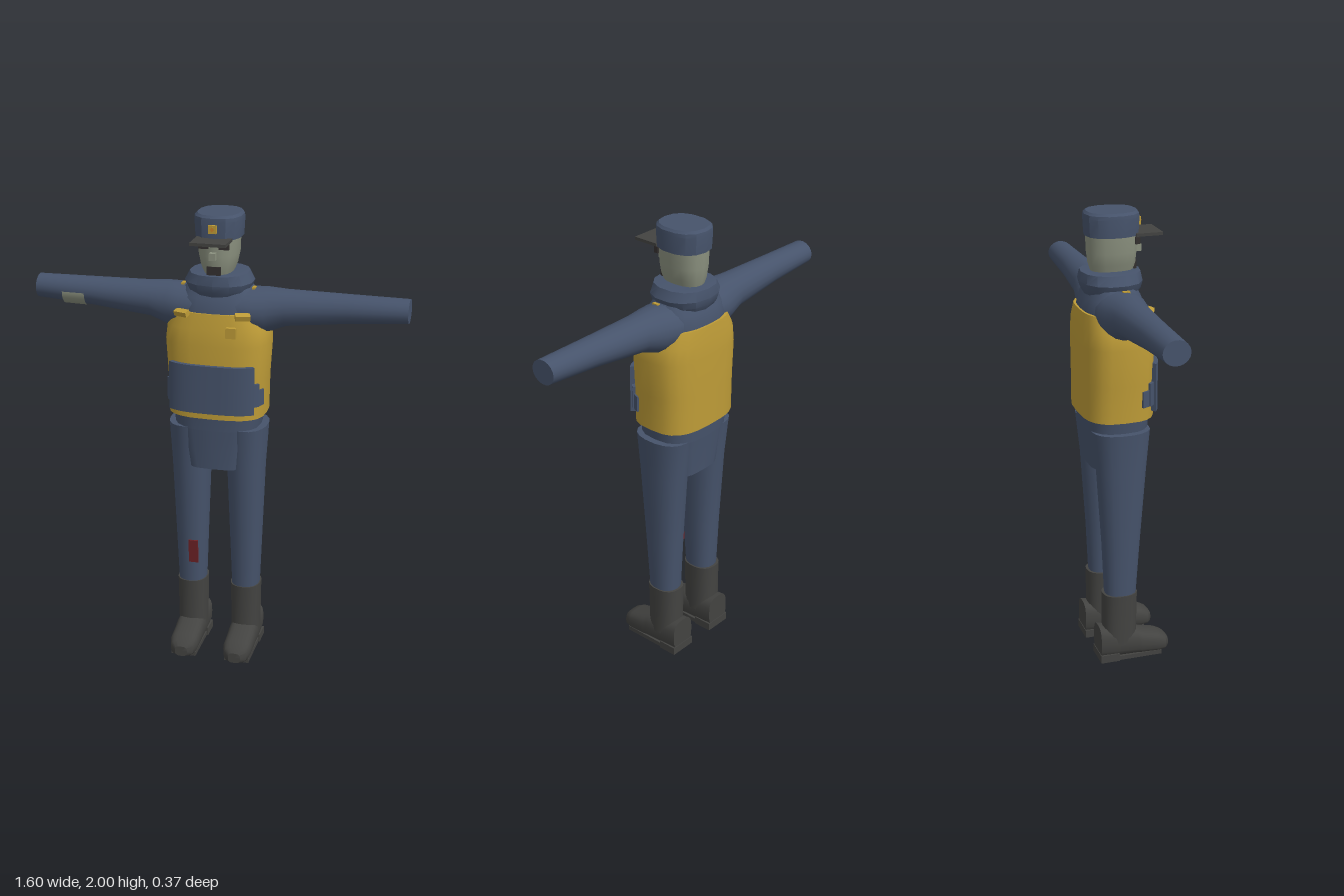
import * as THREE from 'three';
import { toCreasedNormals } from 'three/addons/utils/BufferGeometryUtils.js';

const mat = (name, color) => {
  const m = new THREE.MeshStandardMaterial({ color });
  m.name = name;
  return m;
};

// Point on a rounded-square outline; power 2 is an ellipse, higher is boxier
const outline = (a, rx, rz, p) => {
  const f = (v) => Math.sign(v) * Math.abs(v) ** (2 / p);
  return [rx * f(Math.sin(a)), rz * f(Math.cos(a))];
};

// Closed solid from rings [y, centreX, centreZ, radiusX, radiusZ], y rising
function loft(rings, sides = 16, p = 2, crease = 0.6) {
  const pos = [], idx = [];
  for (const [y, cx, cz, rx, rz] of rings) {
    for (let i = 0; i < sides; i++) {
      const [x, z] = outline((i / sides) * Math.PI * 2, rx, rz, p);
      pos.push(cx + x, y, cz + z);
    }
  }
  const last = rings.length - 1, bottom = pos.length / 3;
  for (const r of [rings[0], rings[last]]) pos.push(r[1], r[0], r[2]);
  for (let i = 0; i < sides; i++) {
    const n = (i + 1) % sides;
    for (let j = 0; j < last; j++) {
      const a = j * sides + i, b = j * sides + n;
      idx.push(a, b, b + sides, a, b + sides, a + sides);
    }
    idx.push(bottom, n, i, bottom + 1, last * sides + i, last * sides + n);
  }
  const g = new THREE.BufferGeometry();
  g.setAttribute('position', new THREE.Float32BufferAttribute(pos, 3));
  g.setIndex(idx);
  return toCreasedNormals(g, crease);
}

// Plate bent around the front of the vest
function wrapPlate(halfAngle, y0, y1, thickness) {
  const g = new THREE.BoxGeometry(halfAngle * 2, y1 - y0, thickness, 20, 1, 1);
  const p = g.attributes.position;
  for (let i = 0; i < p.count; i++) {
    const off = p.getZ(i) + thickness / 2 - 0.002;
    const [x, z] = outline(p.getX(i), 0.213 + off, 0.156 + off, 3);
    p.setXYZ(i, x, p.getY(i) + (y0 + y1) / 2, z - 0.028);
  }
  return toCreasedNormals(g, 0.6);
}

export function createModel() {
  const blue = mat('blueCloth', 0x46536b);
  const yellow = mat('yellowVest', 0xbd9b37);
  const dark = mat('darkLeather', 0x434341);
  const skin = mat('greyGreenSkin', 0x8b917f);
  const black = mat('darkFeatures', 0x34302f);
  const red = mat('redPatch', 0x6e2226);
  const orange = mat('orangeEmblem', 0xc9822a);

  const model = new THREE.Group();
  model.name = 'uniformedFigure';
  const add = (name, geometry, material, x = 0, y = 0, z = 0) => {
    const m = new THREE.Mesh(geometry, material);
    m.name = name;
    m.position.set(x, y, z);
    model.add(m);
    return m;
  };
  const box = (name, w, h, d, material, x, y, z) =>
    add(name, new THREE.BoxGeometry(w, h, d), material, x, y, z);

  // Head and face
  add('head', loft([
    [1.70, 0, -0.03, 0.045, 0.075], [1.74, 0, -0.028, 0.055, 0.088],
    [1.78, 0, -0.028, 0.072, 0.1], [1.83, 0, -0.029, 0.083, 0.105],
    [1.92, 0, -0.03, 0.086, 0.106],
  ], 16, 2.4, 0.9), skin);
  box('nose', 0.026, 0.03, 0.03, skin, 0, 1.835, 0.085);
  box('mouth', 0.058, 0.036, 0.012, black, 0, 1.77, 0.067);

  // Peaked cap
  add('cap', loft([
    [1.90, 0, -0.03, 0.098, 0.113], [1.975, 0, -0.03, 0.102, 0.117],
    [1.99, 0, -0.03, 0.1, 0.115], [2.0, 0, -0.03, 0.09, 0.105],
  ], 14, 2.4, 0.5), blue);
  box('capVisor', 0.15, 0.013, 0.115, dark, 0, 1.902, 0.114);
  box('capBadge', 0.034, 0.034, 0.012, yellow, 0, 1.948, 0.09);
  const emblem = box('capEmblem', 0.014, 0.014, 0.004, orange, 0, 1.948, 0.097);
  emblem.rotation.z = Math.PI / 4;

  // Collar and upper body
  add('collar', loft([
    [1.655, 0, -0.035, 0.115, 0.11], [1.68, 0, -0.035, 0.135, 0.125],
    [1.71, 0, -0.035, 0.146, 0.132], [1.75, 0, -0.035, 0.125, 0.125],
    [1.752, 0, -0.035, 0.105, 0.108],
  ], 14, 2.3, 0.5), blue);
  add('shoulders', loft([
    [1.50, 0, -0.03, 0.17, 0.13], [1.60, 0, -0.032, 0.18, 0.133],
    [1.65, 0, -0.033, 0.17, 0.115], [1.69, 0, -0.033, 0.14, 0.095],
  ], 20, 2.6), blue);

  // Vest
  add('vest', loft([
    [1.14, 0, -0.028, 0.21, 0.156], [1.30, 0, -0.028, 0.213, 0.156],
    [1.46, 0, -0.028, 0.223, 0.156], [1.53, 0, -0.03, 0.215, 0.151],
    [1.595, 0, -0.033, 0.18, 0.14],
  ], 24, 3), yellow);
  add('frontPouch', wrapPlate(0.8, 1.17, 1.38, 0.02), blue);
  add('pouchBand', wrapPlate(1.26, 1.2, 1.27, 0.008), blue);
  add('pouchTab', wrapPlate(1.02, 1.2, 1.3, 0.012), blue);
  box('chestBadge', 0.044, 0.044, 0.02, yellow, 0.09, 1.53, 0.133);

  // Waist and hips
  add('waist', loft([
    [1.08, 0, -0.028, 0.185, 0.138], [1.16, 0, -0.028, 0.195, 0.142],
  ], 20, 2.8), blue);
  add('hips', loft([
    [0.90, 0, -0.022, 0.12, 0.12], [0.98, 0, -0.023, 0.138, 0.124],
    [1.10, 0, -0.026, 0.16, 0.132],
  ], 20, 4), blue);

  for (const s of [1, -1]) {
    const side = s > 0 ? 'left' : 'right';

    // Face and vest details on each side
    box(side + 'Eye', 0.042, 0.028, 0.02, black, s * 0.043, 1.876, 0.067);
    const tab = box(side + 'StrapEnd', 0.062, 0.022, 0.028, yellow, s * 0.13, 1.592, 0.1);
    tab.rotation.set(0.35, s * 0.35, s * -0.15);
    box(side + 'ShoulderLoop', 0.014, 0.014, 0.03, yellow, s * 0.152, 1.686, -0.012);

    // Arm, lofted outward along x
    const arm = loft([
      [0.06, 1.595, -0.028, 0.095, 0.115], [0.16, 1.595, -0.027, 0.095, 0.112],
      [0.21, 1.597, -0.027, 0.095, 0.1], [0.29, 1.61, -0.027, 0.077, 0.083],
      [0.55, 1.623, -0.026, 0.0615, 0.065], [0.80, 1.631, -0.026, 0.051, 0.057],
    ].map(([x, y, z, ry, rz]) => [x, -s * y, z, ry, rz]), 18, 2);
    add(side + 'Arm', arm.rotateZ(-s * Math.PI / 2), blue);

    // Trouser leg
    const cx = s * 0.1225;
    add(side + 'Leg', loft([
      [0.30, cx, -0.03, 0.061, 0.069], [0.55, cx, -0.027, 0.07, 0.083],
      [0.90, cx, -0.025, 0.082, 0.108], [1.085, cx, -0.027, 0.093, 0.126],
    ], 18, 2.3), blue);

    // Boot: shaft, foot lofted forward along z, heel block
    add(side + 'BootShaft', loft([
      [0.08, cx, -0.035, 0.064, 0.075], [0.32, cx, -0.033, 0.067, 0.078],
    ], 18, 2.4), dark);
    const foot = loft([
      [-0.132, 0.06, 0.012, 0.162], [-0.06, 0.063, 0.012, 0.15],
      [0.04, 0.063, 0.01, 0.13], [0.06, 0.063, 0.008, 0.118],
      [0.14, 0.062, 0.006, 0.098], [0.172, 0.052, 0.008, 0.082],
      [0.19, 0.028, 0.015, 0.062],
    ].map(([z, rx, lo, hi]) => [z, cx, -(lo + hi) / 2, rx, (hi - lo) / 2]), 20, 3);
    add(side + 'BootFoot', foot.rotateX(Math.PI / 2), dark);
    box(side + 'BootHeel', 0.124, 0.036, 0.085, dark, cx, 0.018, -0.092);
    box(side + 'BootSole', 0.112, 0.02, 0.2, dark, cx, 0.01, 0.05);
  }

  // Patches on the right arm and right leg
  const sleeve = new THREE.CylinderGeometry(0.0625, 0.065, 0.1, 8, 1, true, -1.25, 1.25);
  add('sleevePatch', sleeve.rotateZ(Math.PI / 2), skin, -0.63, 1.625, -0.025);
  const knee = box('legPatch', 0.042, 0.11, 0.009, red, -0.1, 0.475, 0.05);
  knee.rotation.x = 0.07;

  return model;
}
